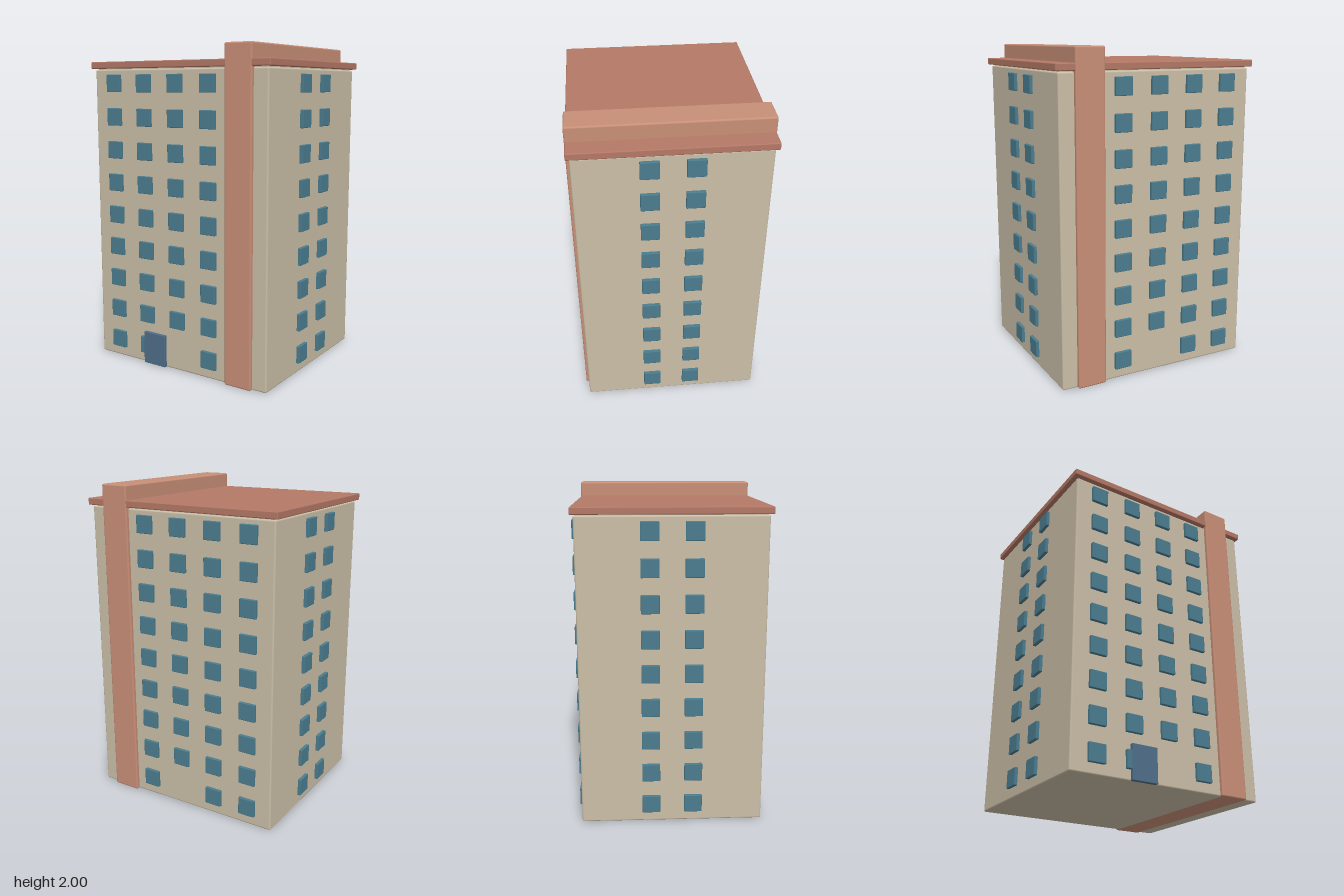
import * as THREE from 'three';
import { RoundedBoxGeometry } from 'three/addons/geometries/RoundedBoxGeometry.js';

const mat = (color) => new THREE.MeshStandardMaterial({ color });

export function createModel() {
  const group = new THREE.Group();
  const wall = mat(0xcabea7), brick = mat(0xc88f77), roofing = mat(0xb47866);
  const glass = mat(0x4b7d8f), doorBlue = mat(0x4e6e8a);

  // Softly bevelled box given by its minimum and maximum corners
  function block(name, material, min, max, bevel) {
    const [w, h, d] = max.map((v, i) => v - min[i]);
    const mesh = new THREE.Mesh(new RoundedBoxGeometry(w, h, d, 2, bevel), material);
    mesh.position.set(...max.map((v, i) => (v + min[i]) / 2));
    mesh.name = name;
    group.add(mesh);
  }

  // Main masses: walls, overhanging roof slab, tall stair band running front to back
  block('walls', wall, [-0.635, 0.002, -0.549], [0.635, 1.862, 0.549], 0.01);
  block('roof', roofing, [-0.656, 1.868, -0.568], [0.656, 1.91, 0.568], 0.006);
  block('roofSeat', wall, [-0.62, 1.85, -0.535], [0.62, 1.88, 0.535], 0.002);
  block('stairBand', brick, [0.358, 0, -0.571], [0.54, 2, 0.571], 0.01);
  block('door', doorBlue, [-0.26, 0.004, 0.53], [-0.094, 0.21, 0.569], 0.003);

  // Windows share one thin pane
  const pane = new RoundedBoxGeometry(0.108, 0.108, 0.036, 1, 0.004);
  function addWindow(name, x, y, z, turn) {
    const mesh = new THREE.Mesh(pane, glass);
    mesh.position.set(x, y, z);
    mesh.rotation.y = turn;
    mesh.name = name;
    group.add(mesh);
  }

  for (let floor = 0; floor < 9; floor++) {
    const y = 0.119 + floor * 0.2072;
    for (const s of [1, -1]) {
      // Front and back: four columns, one ground-floor opening left out
      [-0.476, -0.238, -0.001, 0.236].forEach((x, col) => {
        if (floor === 0 && col === 2) return;
        addWindow(s > 0 ? 'frontWindow' : 'backWindow', x, y, s * 0.549, s > 0 ? 0 : Math.PI);
      });
      // Sides: two columns
      for (const z of [0.128, -0.126]) {
        addWindow(s > 0 ? 'leftWindow' : 'rightWindow', s * 0.637, y, z, s * Math.PI / 2);
      }
    }
  }
  return group;
}
